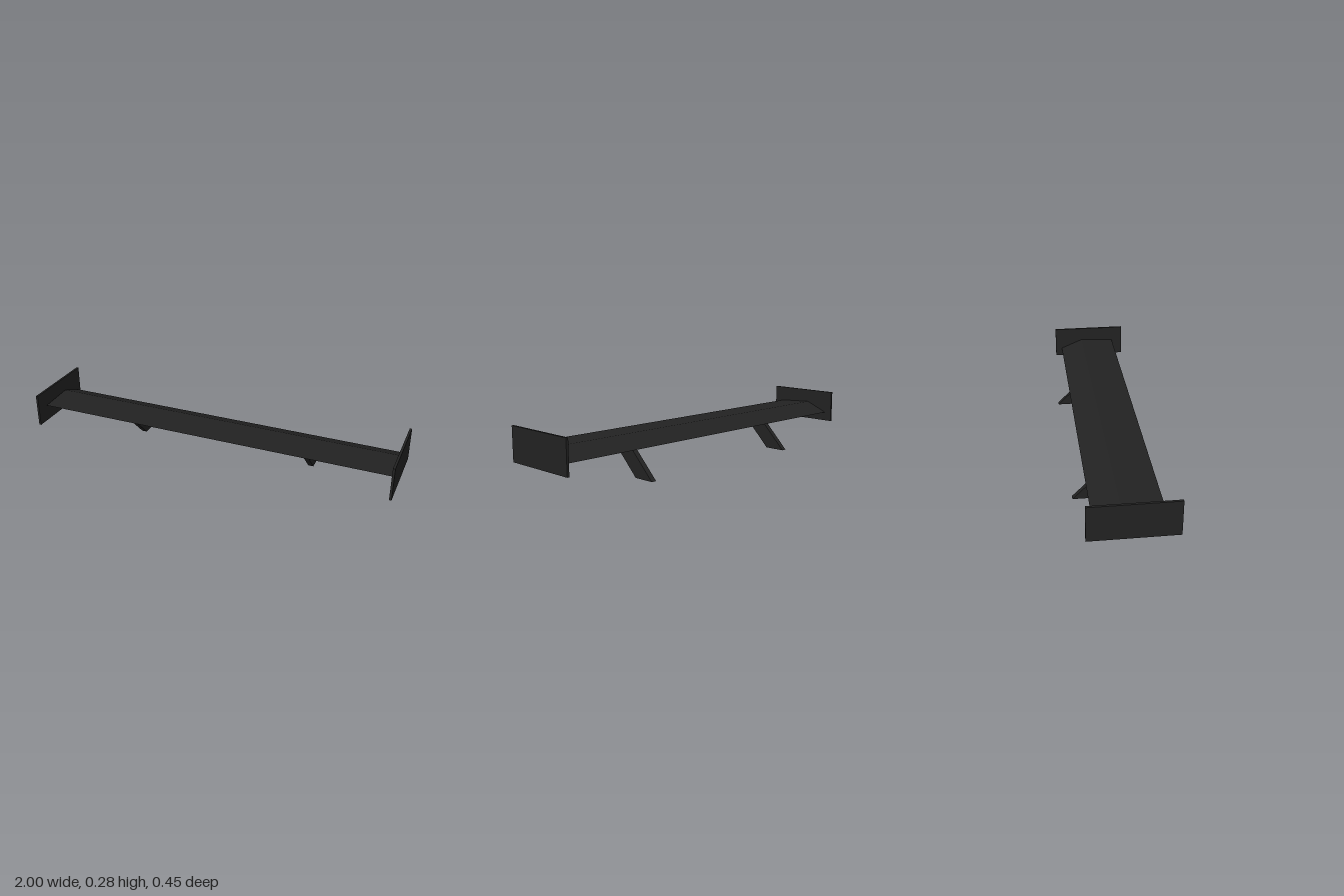
import * as THREE from 'three';

// Extrudes a [z, y] side profile along x, centred on x = centre
function extrudeAlongX(points, width, centre, material, name) {
  const shape = new THREE.Shape(points.map(([z, y]) => new THREE.Vector2(-z, y)));
  const geometry = new THREE.ExtrudeGeometry(shape, { depth: width, bevelEnabled: false });
  geometry.translate(0, 0, -width / 2);
  geometry.rotateY(Math.PI / 2);
  geometry.translate(centre, 0, 0);
  const mesh = new THREE.Mesh(geometry, material);
  mesh.name = name;
  return mesh;
}

export function createModel() {
  const group = new THREE.Group();
  group.name = 'rearWing';
  const black = new THREE.MeshStandardMaterial({ color: 0x222222 });
  black.name = 'matteBlack';

  // Wing blade: sloped rear face, nearly level top, tilted flat underside
  const bladeProfile = [[-0.165, 0.157], [0.16, 0.2], [-0.035, 0.211]];
  group.add(extrudeAlongX(bladeProfile, 1.962, 0, black, 'wingBlade'));

  // Slanted strut, its top buried in the blade
  const strutProfile = [[-0.222, 0], [-0.105, 0], [0.085, 0.19], [-0.042, 0.18]];

  for (const side of [1, -1]) {
    const label = side > 0 ? 'left' : 'right';
    group.add(extrudeAlongX(strutProfile, 0.028, side * 0.506, black, label + 'Strut'));

    // Upright end plate
    const plate = new THREE.Mesh(new THREE.BoxGeometry(0.012, 0.178, 0.426), black);
    plate.position.set(side * 0.994, 0.194, 0.011);
    plate.name = label + 'EndPlate';
    group.add(plate);
  }
  return group;
}
